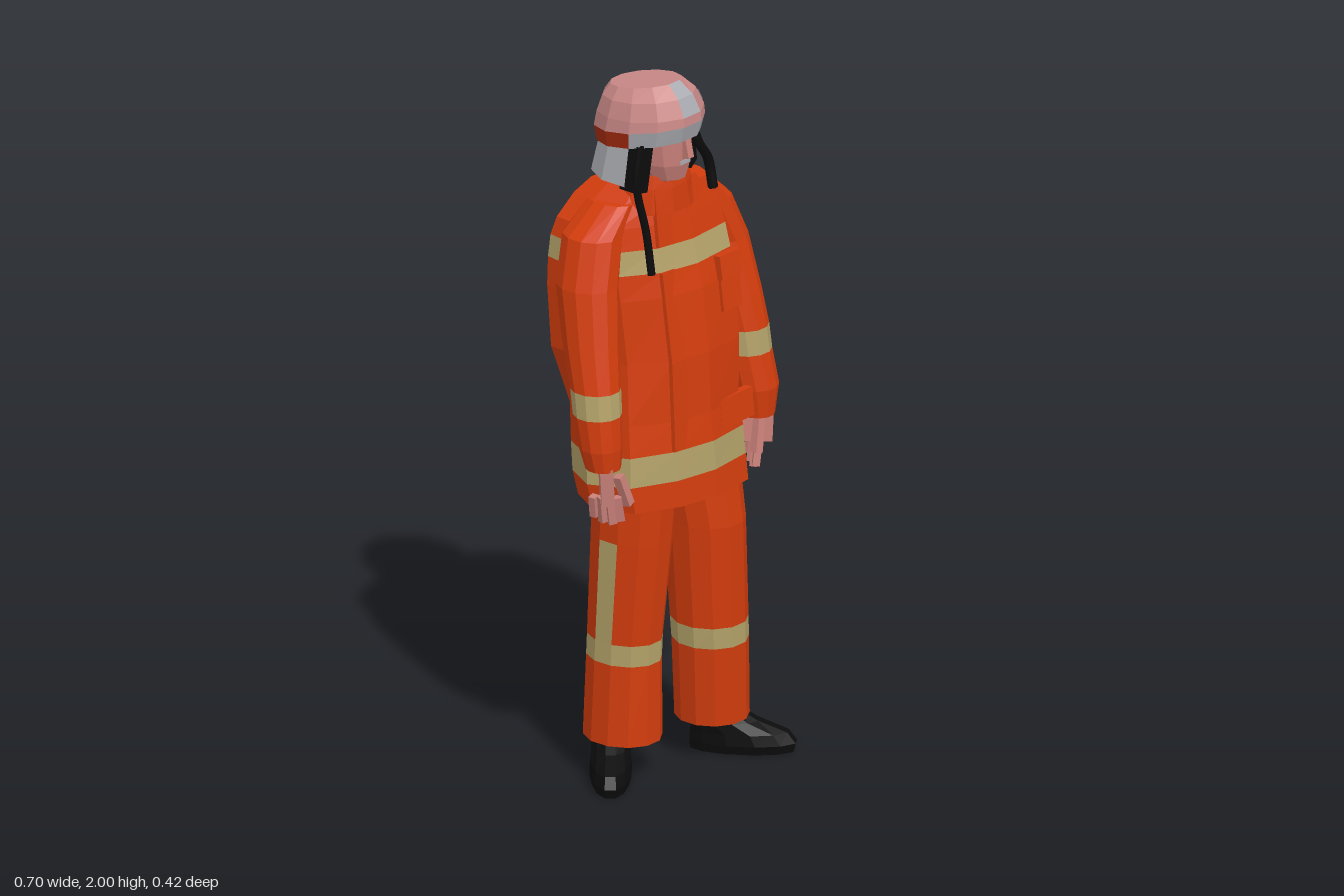
import * as THREE from 'three';

const mat = (name, color) => {
  const m = new THREE.MeshStandardMaterial({ color });
  m.name = name;
  return m;
};
const orange = mat('orange cloth', 0xd43d0d);
const band = mat('reflective band', 0xb5a36a);
const pink = mat('helmet shell', 0xcb8a88);
const skin = mat('skin', 0xc87f78);
const grey = mat('grey fabric', 0xabacb2);
const red = mat('helmet trim', 0xab2c10);
const black = mat('black', 0x0c0c0c);
grey.side = THREE.DoubleSide;

// Twelve-sided section whose flat faces reach 1; runs from +z towards +x
const ROUND = Array.from({ length: 12 }, (_, k) => {
  const a = THREE.MathUtils.degToRad(15 + 30 * k), r = 1 / Math.cos(Math.PI / 12);
  return [Math.sin(a) * r, Math.cos(a) * r];
});
// Coat sections, slightly turned towards the left: broad at the back, rounder at the hem
const COAT = [[-0.4, 0.84], [0.12, 1], [0.76, 0.93], [1, 0.32], [0.98, -0.45],
  [0.8, -0.97], [-0.2, -1.03], [-0.99, -1.06], [-1.03, -0.4], [-0.87, 0.4]];
const HEM = [[-0.4, 0.84], [0.12, 1], [0.72, 0.9], [1, 0.33], [0.99, -0.4],
  [0.72, -0.92], [-0.1, -1.03], [-0.74, -0.97], [-1.02, -0.32], [-0.88, 0.43]];

// Faceted skin over level sections [y, cx, cz, sx, sz, tilt, section], listed bottom to top.
// paint(i, k) picks the material index of face k in row i; -1 leaves it open.
function loft(name, base, rings, mats, paint = () => 0, caps = true) {
  const P = rings.map(([y, cx, cz, sx, sz, tilt = 0, section = base]) => section.map(([x, z]) =>
    [cx + x * sx, y + tilt * z * sz, cz + z * sz]));
  const lists = mats.map(() => []);
  const n = base.length, top = P.length - 1;
  for (let i = 0; i < top; i++) for (let k = 0; k < n; k++) {
    const m = paint(i, k), l = (k + 1) % n;
    if (m < 0) continue;
    const a = P[i][k], b = P[i][l], c = P[i + 1][l], d = P[i + 1][k];
    lists[m].push(a, b, c, a, c, d);
  }
  if (caps) for (let k = 1; k < n - 1; k++) {
    lists[0].push(P[0][0], P[0][k + 1], P[0][k]);
    lists[0].push(P[top][0], P[top][k], P[top][k + 1]);
  }
  const g = new THREE.BufferGeometry();
  g.setAttribute('position', new THREE.Float32BufferAttribute(lists.flat(2), 3));
  let start = 0;
  lists.forEach((l, m) => { g.addGroup(start, l.length, m); start += l.length; });
  g.computeVertexNormals();
  const mesh = new THREE.Mesh(g, mats);
  mesh.name = name;
  return mesh;
}

// Box running from point a to point b
function bar(name, a, b, w, d, material) {
  const A = new THREE.Vector3(...a), B = new THREE.Vector3(...b);
  const dir = B.clone().sub(A);
  const mesh = new THREE.Mesh(new THREE.BoxGeometry(w, dir.length(), d), material);
  mesh.position.copy(A).add(B).multiplyScalar(0.5);
  mesh.quaternion.setFromUnitVectors(new THREE.Vector3(0, 1, 0), dir.normalize());
  mesh.name = name;
  return mesh;
}

function tube(name, pts, r, material) {
  const curve = new THREE.CatmullRomCurve3(pts.map(p => new THREE.Vector3(...p)));
  const mesh = new THREE.Mesh(new THREE.TubeGeometry(curve, 14, r, 6), material);
  mesh.name = name;
  return mesh;
}

// Boot with its heel at x, z and its toe along dx, dz
function boot(name, x, z, dx, dz) {
  const mesh = loft(name, ROUND, [
    [0.005, 0, 0.138, 0.05, 0.138], [0.03, 0, 0.14, 0.056, 0.142], [0.06, 0, 0.13, 0.053, 0.13],
    [0.09, 0, 0.092, 0.05, 0.09], [0.12, 0, 0.07, 0.047, 0.062], [0.2, 0, 0.07, 0.045, 0.055],
  ], [black]);
  mesh.position.set(x, 0, z);
  mesh.rotation.y = Math.atan2(dx, dz);
  return mesh;
}

// Hand with palm, four fingers and a thumb; s is +1 for the left side
function hand(name, x, y, z, s) {
  const g = new THREE.Group();
  g.name = name;
  g.add(bar('palm', [0, 0.02, 0], [-s * 0.006, -0.085, 0.005], 0.035, 0.085, skin));
  for (let i = 0; i < 4; i++) {
    const fz = -0.032 + i * 0.021, drop = [0.05, 0.065, 0.07, 0.06][i];
    g.add(bar('finger', [-s * 0.005, -0.075, fz], [-s * 0.016, -0.085 - drop, fz * 1.1 + 0.006], 0.022, 0.02, skin));
  }
  g.add(bar('thumb', [-s * 0.005, -0.015, 0.035], [-s * 0.02, -0.1, 0.06], 0.024, 0.024, skin));
  g.position.set(x, y, z);
  g.rotation.y = -s * 0.6;
  return g;
}

export function createModel() {
  const model = new THREE.Group();
  model.name = 'firefighter';
  const cloth = [orange, band];

  // Coat with hem and chest bands
  const bare = [2, 3, 8];
  model.add(loft('coat', COAT, [
    [0.8, 0.01, 0, 0.232, 0.163, 0.06, HEM], [0.872, 0.003, -0.008, 0.236, 0.166, 0.08, HEM],
    [0.955, 0, -0.013, 0.23, 0.168, 0.08, HEM], [1.05, -0.003, -0.02, 0.222, 0.167, 0, HEM],
    [1.22, -0.003, -0.028, 0.215, 0.168], [1.4, -0.005, -0.04, 0.225, 0.16],
    [1.475, -0.007, -0.045, 0.226, 0.15, -0.05], [1.542, -0.01, -0.048, 0.224, 0.138, -0.05],
    [1.6, -0.013, -0.048, 0.21, 0.126], [1.66, -0.018, -0.045, 0.155, 0.112],
    [1.7, -0.02, -0.035, 0.115, 0.095],
  ], cloth, (i, k) => (i === 1 || (i === 6 && !bare.includes(k))) ? 1 : 0));
  model.add(loft('collar', ROUND, [
    [1.63, -0.02, -0.025, 0.125, 0.11], [1.7, -0.025, -0.02, 0.108, 0.1], [1.735, -0.028, -0.02, 0.095, 0.095],
  ], [orange]));

  // Coat front: fly and pockets
  [[[-0.075, 0.97, 0.128], [-0.075, 1.22, 0.117]], [[-0.075, 1.22, 0.117], [-0.075, 1.47, 0.083]],
    [[-0.075, 1.54, 0.072], [-0.07, 1.7, 0.05]]].forEach(([a, b]) =>
    model.add(bar('fly', a, b, 0.06, 0.012, orange)));
  model.add(bar('chestPocket', [0.13, 1.31, 0.12], [0.13, 1.44, 0.102], 0.075, 0.03, orange));
  model.add(bar('chestPocketFlap', [0.13, 1.4, 0.115], [0.13, 1.465, 0.105], 0.082, 0.035, orange));
  model.add(bar('hipPocketFlap', [0.135, 0.985, 0.136], [0.135, 1.065, 0.128], 0.13, 0.025, orange));

  // Sleeves
  const sleevePaint = i => i === 2 ? 1 : 0;
  model.add(loft('leftSleeve', ROUND, [
    [0.95, 0.288, 0.08, 0.046, 0.05], [1.03, 0.289, 0.072, 0.063, 0.064],
    [1.13, 0.28, 0.052, 0.066, 0.066], [1.2, 0.276, 0.042, 0.067, 0.069],
    [1.3, 0.268, 0.01, 0.071, 0.082], [1.45, 0.252, -0.03, 0.076, 0.088],
    [1.57, 0.205, -0.048, 0.077, 0.087], [1.66, 0.13, -0.045, 0.05, 0.07],
  ], cloth, sleevePaint));
  model.add(loft('rightSleeve', ROUND, [
    [0.96, -0.29, 0.04, 0.046, 0.046], [1.02, -0.292, 0.034, 0.058, 0.056],
    [1.11, -0.29, 0.02, 0.063, 0.064], [1.18, -0.286, 0.01, 0.064, 0.067],
    [1.3, -0.268, -0.022, 0.07, 0.077], [1.45, -0.243, -0.055, 0.077, 0.086],
    [1.58, -0.205, -0.068, 0.076, 0.083], [1.66, -0.14, -0.058, 0.05, 0.07],
  ], cloth, sleevePaint));
  model.add(hand('leftHand', 0.287, 0.96, 0.085, 1), hand('rightHand', -0.287, 0.95, 0.045, -1));

  // Trousers with knee bands and an outer stripe on face k = stripe
  const legPaint = stripe => (i, k) => (i === 1 || (i === 2 && k === stripe)) ? 1 : 0;
  model.add(loft('leftTrouserLeg', ROUND, [
    [0.115, 0.158, 0.036, 0.096, 0.098], [0.345, 0.14, 0.045, 0.097, 0.102],
    [0.405, 0.136, 0.045, 0.098, 0.104], [0.7, 0.117, 0.045, 0.1, 0.112],
    [0.88, 0.105, 0.02, 0.108, 0.12],
  ], cloth, legPaint(1)));
  model.add(loft('rightTrouserLeg', ROUND, [
    [0.115, -0.106, -0.05, 0.096, 0.108], [0.345, -0.106, -0.045, 0.088, 0.106],
    [0.405, -0.106, -0.042, 0.088, 0.106], [0.7, -0.103, -0.02, 0.096, 0.115],
    [0.88, -0.1, -0.01, 0.1, 0.12],
  ], cloth, legPaint(8)));
  model.add(boot('leftBoot', 0.148, -0.03, 0.145, 0.215));
  model.add(boot('rightBoot', -0.06, -0.13, -0.195, 0.165));

  // Head and face
  model.add(loft('head', ROUND, [
    [1.6, -0.03, -0.02, 0.06, 0.06], [1.715, -0.033, 0.0, 0.06, 0.068],
    [1.725, -0.035, 0.028, 0.052, 0.068], [1.77, -0.035, 0.01, 0.075, 0.097],
    [1.88, -0.037, 0.0, 0.088, 0.108],
  ], [skin]));
  model.add(bar('nose', [-0.035, 1.79, 0.115], [-0.035, 1.84, 0.104], 0.022, 0.03, skin));
  model.add(bar('mouth', [-0.035, 1.772, 0.105], [-0.035, 1.783, 0.105], 0.04, 0.009, grey));

  // Helmet: grey front rim and front plate, red trim round the back, pink shell
  const front = k => k >= 9 || k <= 1;
  const helmetPaint = (i, k) => {
    if (i === 0) return front(k) ? 1 : 2;
    if (i === 1) return k === 2 || k === 3 || k === 6 ? 2 : 0;
    return k === 11 ? 1 : 0;
  };
  model.add(loft('helmet', ROUND, [
    [1.825, -0.04, -0.015, 0.126, 0.14, 0.16], [1.87, -0.04, -0.013, 0.133, 0.152, 0.16],
    [1.905, -0.04, -0.01, 0.128, 0.147, 0.1], [1.952, -0.043, -0.012, 0.111, 0.128, 0.12],
    [1.982, -0.045, -0.022, 0.08, 0.1, 0.18],
  ], [pink, grey, red], helmetPaint));
  model.add(loft('helmetSidePatch', ROUND, [
    [1.915, -0.041, -0.0105, 0.127, 0.146, 0.105], [1.942, -0.0425, -0.0115, 0.118, 0.135, 0.115],
  ], [grey], (i, k) => k === 1 ? 0 : -1, false));
  model.add(loft('neckFlap', ROUND, [
    [1.725, -0.035, -0.02, 0.146, 0.15], [1.835, -0.04, -0.015, 0.122, 0.132, 0.1],
  ], [grey], (i, k) => k >= 2 && k <= 8 ? 0 : -1, false));

  // Chin straps and ear covers
  model.add(tube('leftStrap', [[0.075, 1.85, 0.03], [0.09, 1.78, 0.045], [0.13, 1.72, 0.045], [0.14, 1.635, 0.055]], 0.014, black));
  model.add(tube('rightStrap', [[-0.15, 1.84, 0.05], [-0.165, 1.73, 0.05], [-0.15, 1.6, 0.07], [-0.145, 1.48, 0.085]], 0.011, black));
  model.add(bar('leftEarCover', [0.06, 1.84, 0.03], [0.068, 1.72, 0.035], 0.025, 0.06, black));
  model.add(bar('rightEarCover', [-0.13, 1.84, 0.03], [-0.155, 1.71, 0.03], 0.045, 0.06, black));
  return model;
}
